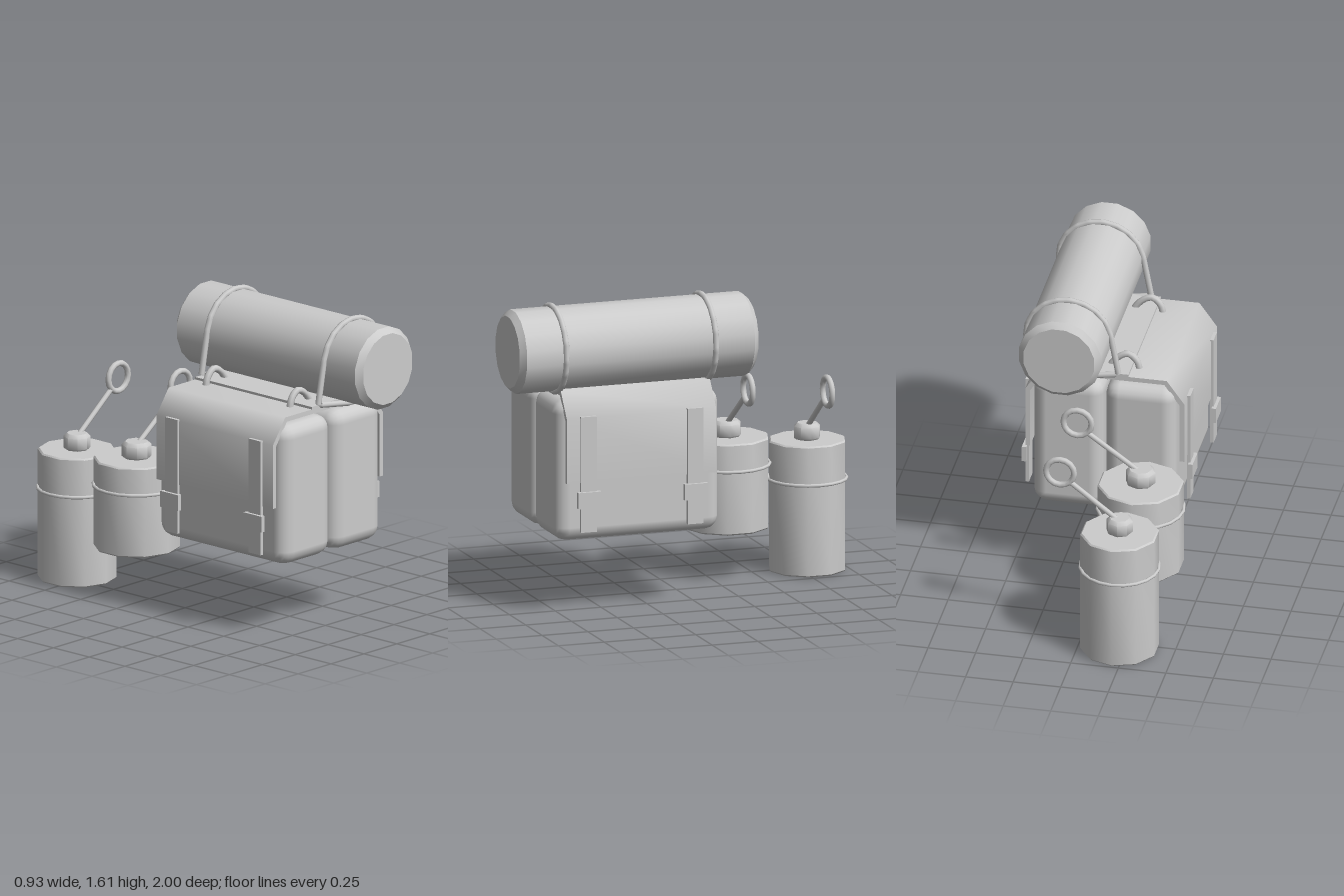
import * as THREE from 'three';
import { toCreasedNormals } from 'three/addons/utils/BufferGeometryUtils.js';
import { RoundedBoxGeometry } from 'three/addons/geometries/RoundedBoxGeometry.js';

export function createModel() {
  const model = new THREE.Group();
  model.name = 'saddlebags';
  const grey = new THREE.MeshStandardMaterial({ color: 0xcccccc });
  grey.name = 'plain grey';
  const MID = 0.0175; // symmetry plane of the bags

  function add(name, geometry, x = 0, y = 0, z = 0, parent = model) {
    const mesh = new THREE.Mesh(geometry, grey);
    mesh.name = name;
    mesh.position.set(x, y, z);
    parent.add(mesh);
    return mesh;
  }
  const v = (x, y, z = 0) => new THREE.Vector3(x, y, z);

  // Capped cylinder from y0 to y1 with chamfered rims
  function drum(r, y0, y1, bevel, sides) {
    const profile = [
      [0, y0], [r - bevel, y0], [r, y0 + bevel],
      [r, y1 - bevel], [r - bevel, y1], [0, y1],
    ].map(([a, b]) => new THREE.Vector2(a, b));
    return toCreasedNormals(new THREE.LatheGeometry(profile, sides), 0.75);
  }

  // Two bags side by side, with straps and buckles on the outer faces
  for (const s of [-1, 1]) {
    add(s < 0 ? 'rightBag' : 'leftBag',
      new RoundedBoxGeometry(0.375, 0.75, 0.9, 2, 0.075), MID + s * 0.19, 0.765, 0.345);
    for (const z of [0.055, 0.637]) {
      add('strap', new THREE.BoxGeometry(0.018, 0.61, 0.085), MID + s * 0.424, 0.755, z);
      add('buckle', new THREE.BoxGeometry(0.024, 0.085, 0.125), MID + s * 0.437, 0.622, z);
    }
  }

  // Flap bent over both bags: a slab whose columns follow a folded profile
  const outer = [[-0.418, 0.71], [-0.418, 1.05], [-0.325, 1.18], [0.325, 1.18], [0.418, 1.05], [0.418, 0.71]];
  const inner = [[-0.393, 0.71], [-0.393, 1.04], [-0.312, 1.155], [0.312, 1.155], [0.393, 1.04], [0.393, 0.71]];
  const flap = new THREE.BoxGeometry(5, 1, 0.815, 5, 1, 1);
  const pos = flap.attributes.position;
  for (let i = 0; i < pos.count; i++) {
    const column = Math.round(pos.getX(i) + 2.5);
    const [x, y] = (pos.getY(i) > 0 ? outer : inner)[column];
    pos.setXY(i, x, y);
  }
  flap.computeVertexNormals();
  add('flap', flap, MID, 0, 0.345);
  add('topBand', new THREE.BoxGeometry(0.246, 0.016, 0.815), MID, 1.185, 0.345);

  // Bedroll along z
  const roll = new THREE.Group();
  roll.name = 'bedroll';
  roll.position.set(0.208, 1.377, 0.343);
  model.add(roll);
  const body = add('rollBody', drum(0.219, -0.652, 0.652, 0.03, 16), 0, 0, 0, roll);
  body.rotation.set(Math.PI / 2, Math.PI / 16, 0);

  // Roll ties: a loop drawn down to a corner beside the roll
  for (const z of [-0.408, 0.408]) {
    const path = new THREE.CurvePath();
    const points = [];
    const start = THREE.MathUtils.degToRad(-99), end = THREE.MathUtils.degToRad(169);
    for (let i = 0; i <= 14; i++) {
      const a = start + (end - start) * i / 14;
      points.push(v(0.224 * Math.cos(a), 0.224 * Math.sin(a)));
    }
    points.push(v(-0.263, -0.185));
    points.forEach((p, i) => path.add(new THREE.LineCurve3(p, points[(i + 1) % points.length])));
    add('rollTie', new THREE.TubeGeometry(path, 64, 0.016, 8, true), 0, 0, z, roll);
  }

  // Carrying loops between the bags
  for (const z of [0.045, 0.632]) {
    const arch = new THREE.CatmullRomCurve3([
      v(-0.145, 1.14), v(-0.13, 1.215), v(-0.085, 1.255), v(-0.03, 1.23), v(0.02, 1.16), v(0.045, 1.08),
    ]);
    add('carryLoop', new THREE.TubeGeometry(arch, 16, 0.018, 8), 0, 0, z);
  }

  // Canteens: body, hoop, neck, cord and ring
  const canteens = [
    { x: -0.232, z: -0.356, r: 0.224, y0: 0.255, y1: 0.735, hoop: 0.59, neck: 0.078, ring: 1.05 },
    { x: -0.213, z: -0.79, r: 0.204, y0: 0, y1: 0.69, hoop: 0.485, neck: 0.07, ring: 1.005 },
  ];
  for (const c of canteens) {
    const g = new THREE.Group();
    g.name = 'canteen';
    g.position.set(c.x, 0, c.z);
    model.add(g);
    add('canteenBody', drum(c.r, c.y0, c.y1, 0.008, 10), 0, 0, 0, g);
    const hoop = add('hoop', new THREE.TorusGeometry(c.r, 0.009, 8, 20), 0, c.hoop, 0, g);
    hoop.rotation.x = Math.PI / 2;
    add('neck', drum(c.neck, c.y1 - 0.01, c.y1 + 0.085, 0.018, 8), 0, 0, 0, g);
    const rx = 0.1 - c.x;
    const cord = new THREE.LineCurve3(v(0, c.y1 + 0.06), v(rx - 0.05, c.ring - 0.05));
    add('cord', new THREE.TubeGeometry(cord, 1, 0.014, 8), 0, 0, 0, g);
    add('ring', new THREE.TorusGeometry(0.074, 0.016, 8, 16), rx, c.ring, 0, g);
  }
  return model;
}
